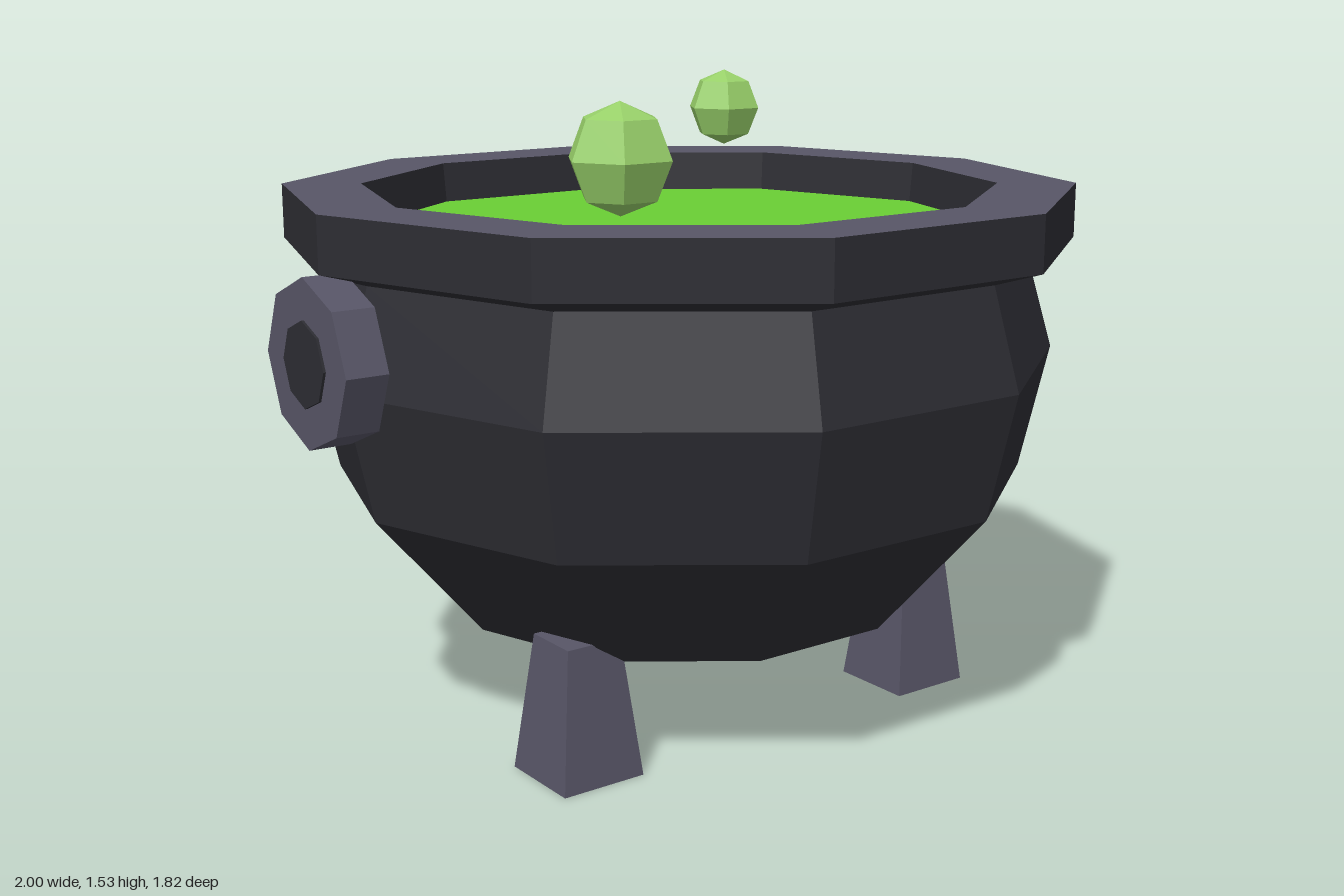
import * as THREE from 'three';

const paint = (name, color) => {
  const m = new THREE.MeshStandardMaterial({ color });
  m.name = name;
  return m;
};

// Split shared corners so every facet is flat
const facet = (geo) => {
  const g = geo.index ? geo.toNonIndexed() : geo;
  g.computeVertexNormals();
  return g;
};

export function createModel() {
  const iron = paint('dark iron', 0x2d2d33);
  const trim = paint('grey trim', 0x575566);
  const brew = paint('green brew', 0x6ace34);
  const foam = paint('pale green bubble', 0x97cf69);

  const model = new THREE.Group();
  model.name = 'cauldron';

  const add = (name, geo, mat, x = 0, y = 0, z = 0) => {
    const mesh = new THREE.Mesh(facet(geo), mat);
    mesh.name = name;
    mesh.position.set(x, y, z);
    model.add(mesh);
    return mesh;
  };

  // Ten-sided turned shape with a corner on the x axis
  const turned = (pts) => new THREE.LatheGeometry(
    pts.map(([r, y]) => new THREE.Vector2(r, y)), 10, Math.PI / 2);

  // Pot: belly, flared lip and outer rim wall
  add('body', turned([
    [0, 0.2], [0.23, 0.2], [0.573, 0.27], [0.842, 0.58], [0.91, 0.88],
    [0.842, 1.115], [0.955, 1.15], [0.955, 1.28],
  ]), iron);
  add('rimTop', turned([[0.955, 1.28], [0.765, 1.28]]), trim);
  add('innerWall', turned([[0.765, 1.28], [0.755, 1.17]]), iron);
  add('liquid', turned([[0.756, 1.18], [0, 1.18]]), brew);

  // Bubbles above the brew
  for (const [x, y, z, r] of [[-0.235, 1.36, 0.09, 0.132], [0.285, 1.437, -0.195, 0.094]]) {
    add('bubble', new THREE.SphereGeometry(r, 6, 4), foam, x, y, z);
  }

  // Octagonal side handles with a dark boss in the middle
  for (const side of [-1, 1]) {
    const ring = add(side > 0 ? 'leftHandle' : 'rightHandle',
      new THREE.CylinderGeometry(0.19, 0.19, 0.1, 8), trim, side * 0.944, 0.96, 0);
    const boss = add(side > 0 ? 'leftHandleBoss' : 'rightHandleBoss',
      new THREE.CylinderGeometry(0.097, 0.097, 0.15, 8), iron, side * 0.925, 0.96, 0);
    ring.rotation.z = boss.rotation.z = -side * Math.PI / 2;
  }

  // Three tapered square legs
  for (const [name, x, z] of [['frontLeftLeg', 0.5, 0.29], ['frontRightLeg', -0.5, 0.29], ['backLeg', 0, -0.575]]) {
    const leg = new THREE.CylinderGeometry(0.07 * Math.SQRT2, 0.106 * Math.SQRT2, 0.325, 4);
    leg.rotateY(Math.PI / 4);
    add(name, leg, trim, x, 0.1625, z);
  }

  return model;
}
